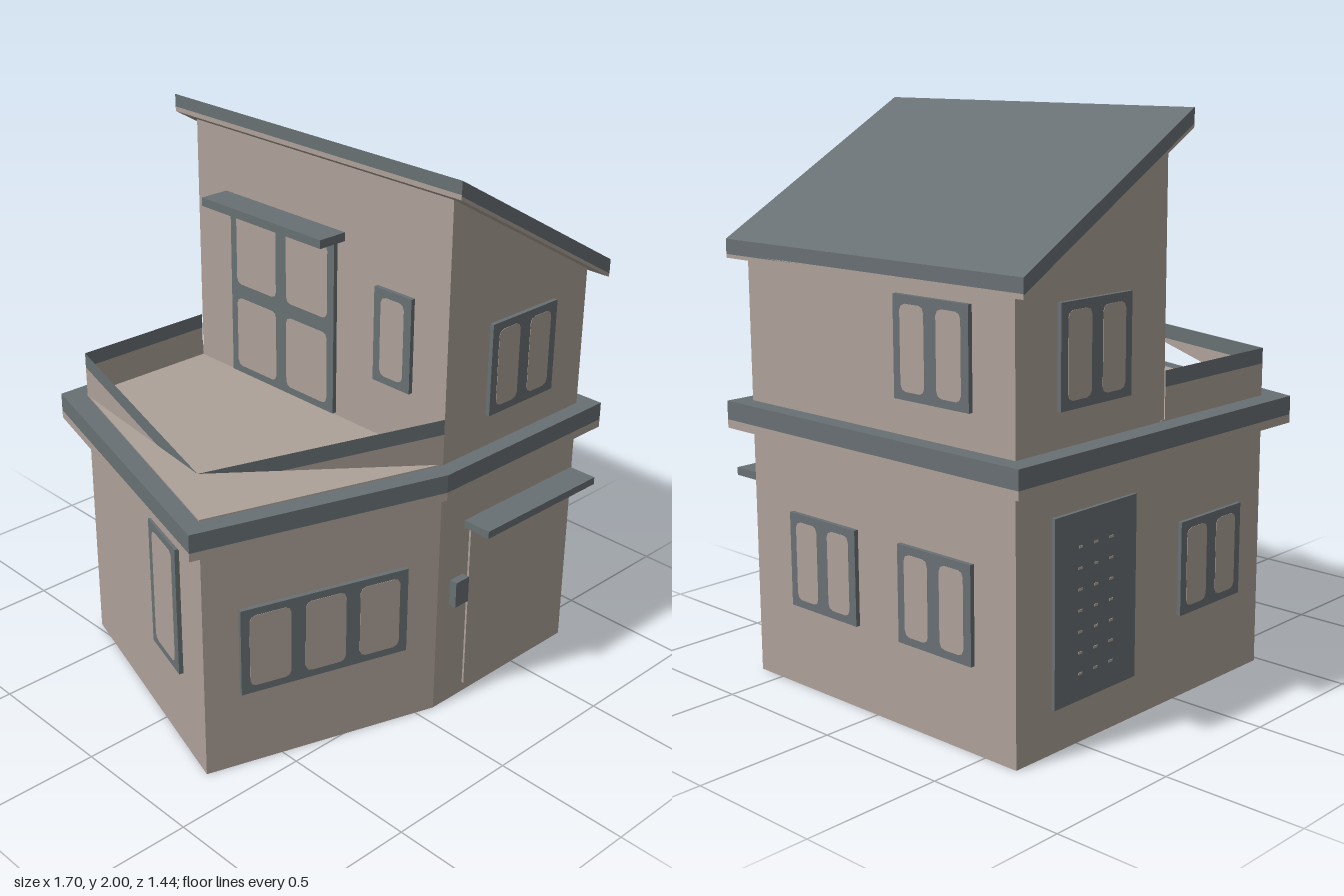
import * as THREE from 'three';

const beige = new THREE.MeshStandardMaterial({ color: 0xada199 });
beige.name = 'beige plaster';
const slate = new THREE.MeshStandardMaterial({ color: 0x687073 });
slate.name = 'slate grey';
const beigeSheet = new THREE.MeshStandardMaterial({ color: 0xada199, side: THREE.DoubleSide });
beigeSheet.name = 'beige parapet';
const slateSheet = new THREE.MeshStandardMaterial({ color: 0x687073, side: THREE.DoubleSide });
slateSheet.name = 'slate parapet';

// Footprints as [x, z]
const wallPlan = [[-0.77, 0.345], [0.07, 0.61], [0.78, 0.61], [0.78, -0.635], [-0.475, -0.642]];
const slabPlan = [[-0.85, 0.39], [0.03, 0.67], [0.845, 0.67], [0.845, -0.708], [-0.535, -0.722]];

function mesh(name, geometry, material) {
  const m = new THREE.Mesh(geometry, material);
  m.name = name;
  return m;
}

function shapeOf(points) {
  return new THREE.Shape(points.map(([x, y]) => new THREE.Vector2(x, y)));
}

// Horizontal plan raised from y0 to y1
function prism(name, plan, y0, y1, material) {
  const g = new THREE.ExtrudeGeometry(shapeOf(plan.map(([x, z]) => [x, -z])), { depth: y1 - y0, bevelEnabled: false });
  g.rotateX(-Math.PI / 2).translate(0, y0, 0);
  return mesh(name, g, material);
}

// Front profile (x, y) running from z0 to z1
function profile(name, points, z0, z1, material) {
  const g = new THREE.ExtrudeGeometry(shapeOf(points), { depth: z1 - z0, bevelEnabled: false });
  g.translate(0, 0, z0);
  return mesh(name, g, material);
}

function box(name, x0, x1, y0, y1, z0, z1, material) {
  const g = new THREE.BoxGeometry(x1 - x0, y1 - y0, z1 - z0);
  g.translate((x0 + x1) / 2, (y0 + y1) / 2, (z0 + z1) / 2);
  return mesh(name, g, material);
}

// Thin pane with chamfered corners, facing +z
function pane(w, h) {
  const a = w / 2, b = h / 2, c = 0.022;
  const s = shapeOf([[-a + c, -b], [a - c, -b], [a - c * 0.3, -b + c * 0.3], [a, -b + c], [a, b - c],
    [a - c * 0.3, b - c * 0.3], [a - c, b], [-a + c, b], [-a + c * 0.3, b - c * 0.3], [-a, b - c],
    [-a, -b + c], [-a + c * 0.3, -b + c * 0.3]]);
  return mesh('windowPane', new THREE.ExtrudeGeometry(s, { depth: 0.003, bevelEnabled: false }), beige);
}

// Framed window on a wall; (x, z) is its centre on the wall, angle turns it outward
function windowUnit(name, x, z, angle, w, y0, y1, cols, rows = 1) {
  const g = new THREE.Group();
  g.name = name;
  const h = y1 - y0, cw = (w - 0.01) / cols, rh = h / rows;
  g.add(box('windowFrame', -w / 2, w / 2, -h / 2, h / 2, -0.005, 0.016, slate));
  for (let i = 0; i < cols; i++) {
    for (let j = 0; j < rows; j++) {
      const p = pane(cw - 0.053, rh - 0.055);
      p.position.set((i - (cols - 1) / 2) * cw, (j - (rows - 1) / 2) * rh, 0.0145);
      g.add(p);
    }
  }
  g.position.set(x, (y0 + y1) / 2, z);
  g.rotation.y = angle;
  return g;
}

// Flat double-sided polygon as a triangle fan
function sheet(name, pts, material) {
  const v = [];
  for (let i = 1; i < pts.length - 1; i++) v.push(...pts[0], ...pts[i], ...pts[i + 1]);
  const g = new THREE.BufferGeometry();
  g.setAttribute('position', new THREE.Float32BufferAttribute(v, 3));
  g.computeVertexNormals();
  return mesh(name, g, material);
}

export function createModel() {
  const house = new THREE.Group();
  house.name = 'house';
  const [A, B, , , C] = wallPlan;

  // Ground floor and the slab above it
  house.add(prism('groundFloorWalls', wallPlan, 0, 0.9, beige));
  house.add(prism('slabUnderside', slabPlan, 0.89, 0.92, beige));
  house.add(prism('slabEdge', slabPlan, 0.92, 0.986, slate));
  house.add(prism('terraceFloor', [A, B, [0.09, 0.61], [0.09, -0.637], C], 0.98, 0.991, beige));

  // Terrace parapet: full at the back, tapering sails on the front and side
  const low = 0.988, mid = 1.1, top = 1.155, t = (top - mid) / (top - low);
  const at = ([x, z], y) => [x, y, z];
  const D = [0.07, -0.639];
  house.add(sheet('backParapet', [at(C, low), at(D, low), at(D, mid), at(C, mid)], beigeSheet));
  house.add(sheet('backParapetBand', [at(C, mid), at(D, mid), at(D, top), at(C, top)], slateSheet));
  for (const [name, E] of [['frontParapet', B], ['sideParapet', C]]) {
    const P = [A[0] + (E[0] - A[0]) * t, A[1] + (E[1] - A[1]) * t];
    house.add(sheet(name, [at(P, mid), at(E, low), at(E, mid)], beigeSheet));
    house.add(sheet(name + 'Band', [at(A, top), at(P, mid), at(E, mid), at(E, top)], slateSheet));
  }

  // Upper floor and its single-pitch roof
  house.add(profile('upperFloorWalls', [[0.07, 0.98], [0.78, 0.98], [0.78, 1.51], [0.07, 1.922]], -0.635, 0.61, beige));
  house.add(profile('roofSoffit', [[0.03, 1.937], [0.82, 1.48], [0.82, 1.497], [0.03, 1.954]], -0.705, 0.675, beige));
  house.add(profile('roof', [[0.03, 1.95], [0.82, 1.493], [0.82, 1.545], [0.03, 2.0]], -0.706, 0.676, slate));

  // Front windows; the long one follows the slanted wall
  const frontAngle = Math.atan2(-(B[1] - A[1]), B[0] - A[0]);
  const onWall = (p, q, k) => [p[0] + (q[0] - p[0]) * k, p[1] + (q[1] - p[1]) * k];
  const [fx, fz] = onWall(A, B, 0.5);
  house.add(windowUnit('frontLongWindow', fx, fz, frontAngle, 0.625, 0.295, 0.625, 3));
  house.add(windowUnit('frontUpperWindow', 0.44, 0.61, 0, 0.33, 1.105, 1.44, 2));

  // Windows on the +x side
  for (const [z, y] of [[0.243, 0.295], [-0.293, 0.295], [-0.293, 1.105]]) {
    house.add(windowUnit('sideWindow', 0.78, z, Math.PI / 2, 0.33, y, y + 0.333, 2));
  }

  // Back windows
  house.add(windowUnit('backLowerWindow', -0.18, -0.638, Math.PI, 0.335, 0.295, 0.625, 2));
  house.add(windowUnit('backUpperWindow', 0.428, -0.635, Math.PI, 0.335, 1.105, 1.44, 2));

  // Tall window on the slanted side wall
  const [sx, sz] = onWall(C, A, 0.71);
  const sideAngle = Math.atan2(C[1] - A[1], -(C[0] - A[0]));
  house.add(windowUnit('tallSideWindow', sx, sz, sideAngle, 0.235, 0.3, 0.79, 1));

  // Terrace doors, small window and canopy
  house.add(windowUnit('terraceDoors', 0.07, -0.173, -Math.PI / 2, 0.535, 1.0, 1.65, 2, 2));
  house.add(windowUnit('terraceWindow', 0.07, 0.373, -Math.PI / 2, 0.17, 1.2, 1.54, 1));
  house.add(box('terraceCanopy', -0.045, 0.075, 1.652, 1.683, -0.48, 0.13, slate));

  // Front door, its canopy and letter box
  house.add(box('frontDoor', 0.222, 0.747, 0.037, 0.7, 0.6, 0.618, beige));
  house.add(box('doorCanopy', 0.195, 0.775, 0.698, 0.726, 0.6, 0.72, slate));
  house.add(box('letterBox', 0.132, 0.198, 0.41, 0.51, 0.6, 0.64, slate));

  // Back shutter with rows of small slots
  house.add(box('backShutter', 0.225, 0.62, 0.15, 0.775, -0.65, -0.63, slate));
  for (let i = 0; i < 3; i++) {
    for (let j = 0; j < 7; j++) {
      const x = 0.35 + i * 0.075, y = 0.24 + j * 0.07;
      house.add(box('shutterSlot', x - 0.009, x + 0.009, y - 0.004, y + 0.004, -0.652, -0.648, beige));
    }
  }
  return house;
}
